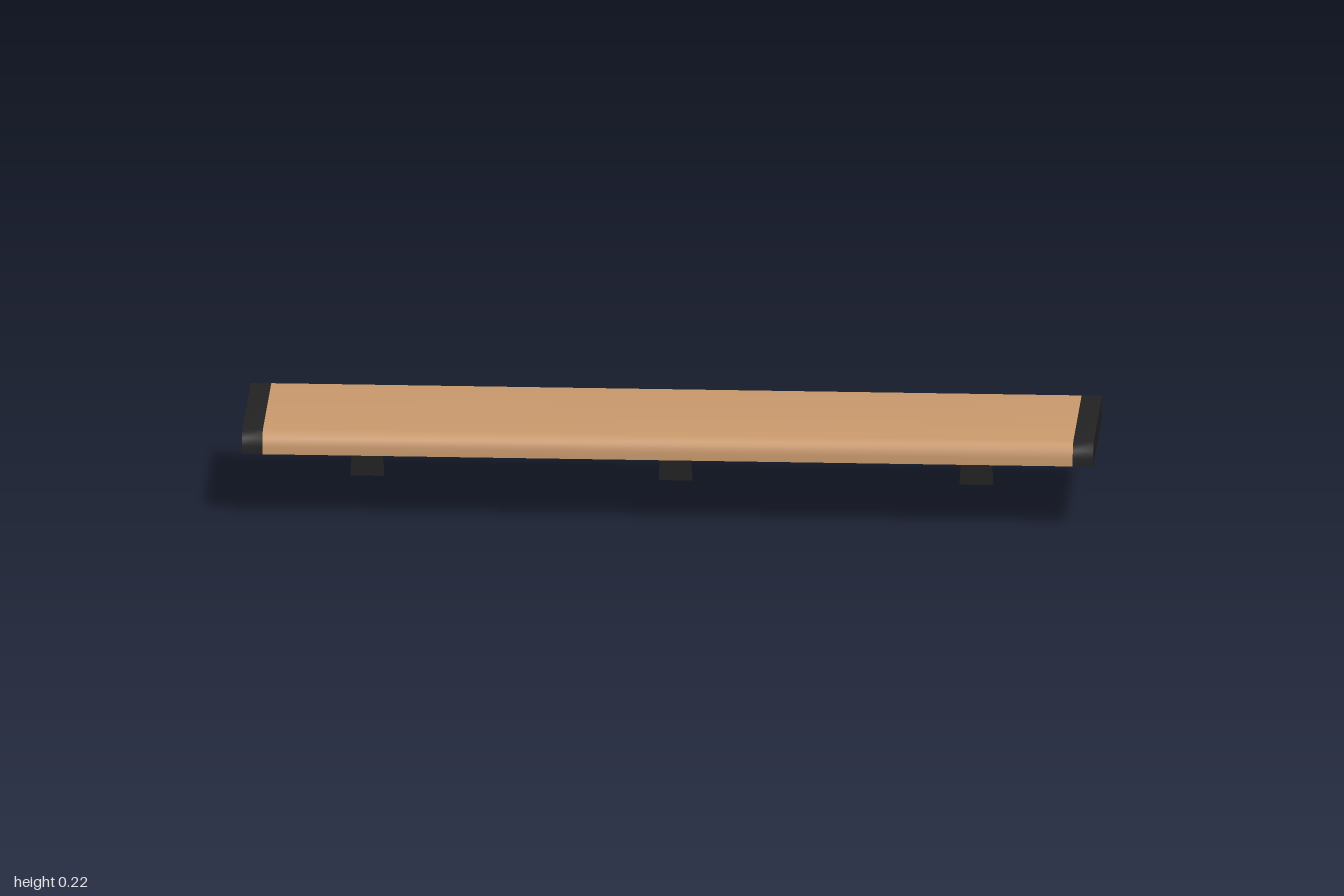
import * as THREE from 'three';
import { toCreasedNormals } from 'three/addons/utils/BufferGeometryUtils.js';

const wood = new THREE.MeshStandardMaterial({ color: 0xc8986c });
wood.name = 'wood';
const black = new THREE.MeshStandardMaterial({ color: 0x222222 });
black.name = 'black';

// Shelf cross-section as (z, y): square back, rounded upper front edge
const profile = [
  [-0.198, 0.166], [0.202, 0.166], [0.202, 0.185], [0.199, 0.203],
  [0.187, 0.215], [0.169, 0.22], [-0.198, 0.22],
];

function addMesh(parent, name, geometry, material) {
  const mesh = new THREE.Mesh(geometry, material);
  mesh.name = name;
  parent.add(mesh);
  return mesh;
}

// Extrudes the shelf cross-section along x between two positions
function slab(x0, x1) {
  const shape = new THREE.Shape(profile.map(([z, y]) => new THREE.Vector2(z, y)));
  const geometry = new THREE.ExtrudeGeometry(shape, { depth: x1 - x0, bevelEnabled: false });
  geometry.rotateY(-Math.PI / 2).translate(x1, 0, 0);
  return toCreasedNormals(geometry, 0.9);
}

// Unit box whose corners are moved by a rule
function shapedBox(rule) {
  const geometry = new THREE.BoxGeometry(1, 1, 1).toNonIndexed();
  const p = geometry.attributes.position;
  for (let i = 0; i < p.count; i++) {
    p.setXYZ(i, ...rule(p.getX(i), p.getY(i), p.getZ(i)));
  }
  geometry.computeVertexNormals();
  return geometry;
}

export function createModel() {
  const model = new THREE.Group();
  model.name = 'wallShelf';

  // Board and end caps
  addMesh(model, 'board', slab(-0.952, 0.952), wood);
  addMesh(model, 'rightEndCap', slab(-1, -0.952), black);
  addMesh(model, 'leftEndCap', slab(0.952, 1), black);

  // Wall plate widens downwards; arm gets thinner and narrower to the front
  const plate = shapedBox((x, y, z) => [
    x * (y > 0 ? 0.056 : 0.08), y > 0 ? 0.166 : 0, z > 0 ? -0.188 : -0.2,
  ]);
  const arm = shapedBox((x, y, z) => [
    x * (z > 0 ? 0.035 : 0.056),
    y > 0 ? 0.167 : (z > 0 ? 0.161 : 0.153),
    z > 0 ? 0.182 : -0.19,
  ]);

  // Three brackets
  for (const x of [-0.726, -0.002, 0.705]) {
    const bracket = new THREE.Group();
    bracket.name = 'bracket';
    bracket.position.x = x;
    addMesh(bracket, 'wallPlate', plate, black);
    addMesh(bracket, 'supportArm', arm, black);
    model.add(bracket);
  }
  return model;
}
